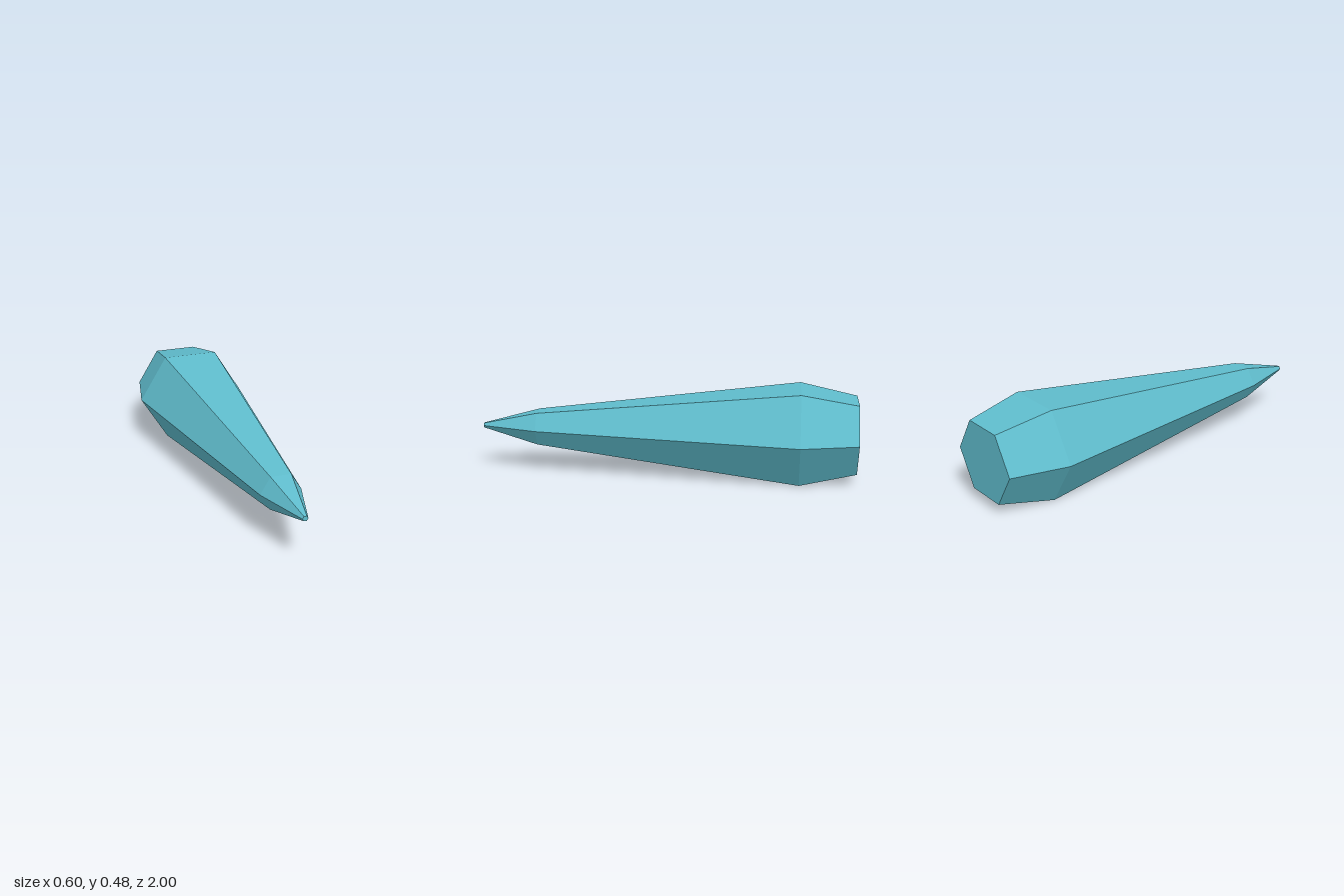
import * as THREE from 'three';

export function createModel() {
  const group = new THREE.Group();
  group.name = 'crystalShard';

  // Profile as (radius, position along the length), closed at both ends
  const profile = [
    [0, -1], [0.228, -1], [0.3, -0.7], [0.107, 0.7], [0.015, 1], [0, 1],
  ].map(([r, l]) => new THREE.Vector2(r, l));

  // Six-sided shard, corners on the x axis, tip pointing forward
  const geometry = new THREE.LatheGeometry(profile, 6, Math.PI / 2);
  geometry.rotateX(Math.PI / 2);
  geometry.scale(1, 0.933, 1); // slightly flattened hexagon
  geometry.translate(0, 0.2425, 0);

  const shard = new THREE.Mesh(
    geometry,
    new THREE.MeshStandardMaterial({ color: 0x5fbccc, flatShading: true }),
  );
  shard.name = 'shard';
  group.add(shard);
  return group;
}
